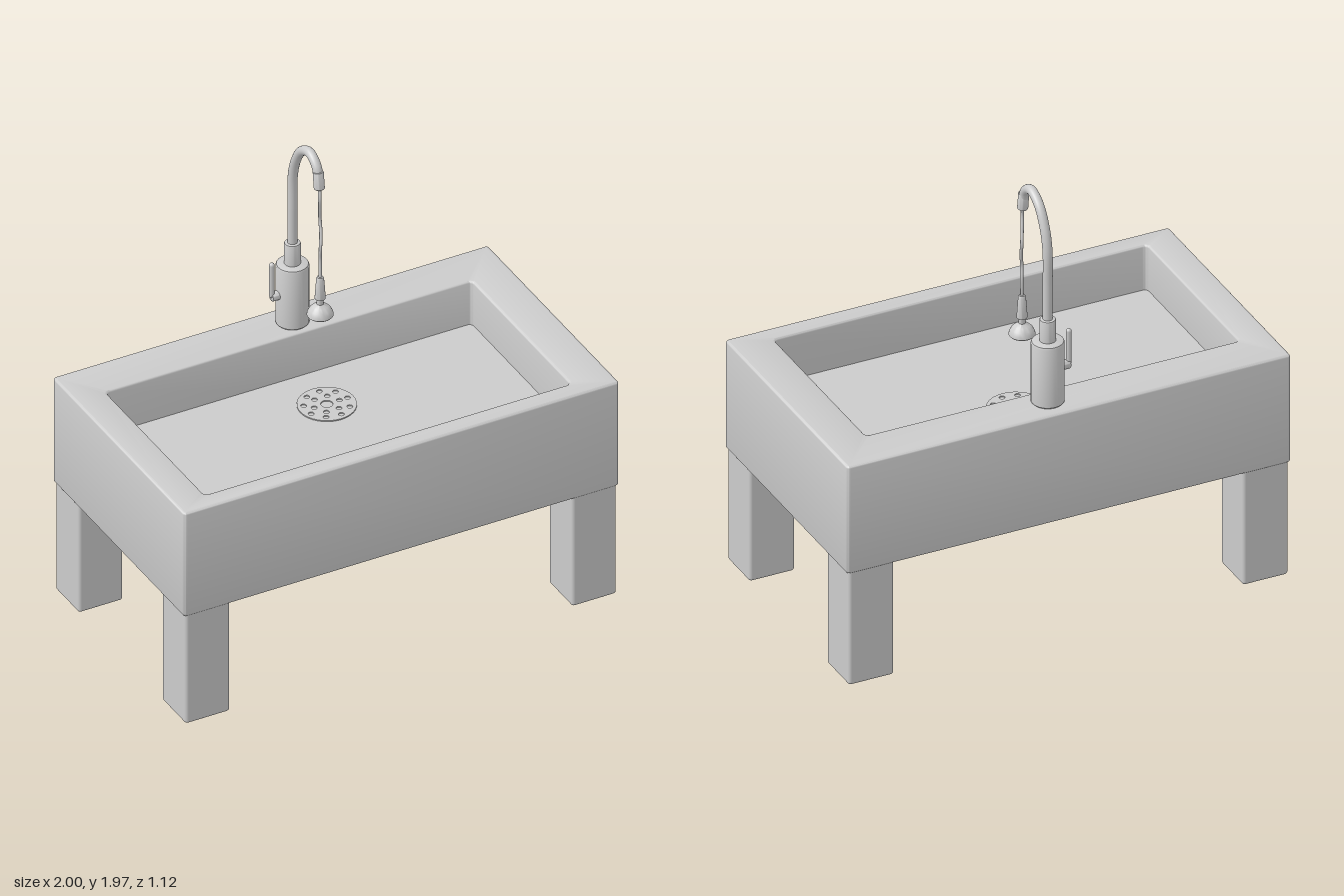
import * as THREE from 'three';
import { RoundedBoxGeometry } from 'three/addons/geometries/RoundedBoxGeometry.js';
import { toCreasedNormals } from 'three/addons/utils/BufferGeometryUtils.js';

const material = new THREE.MeshStandardMaterial({ color: 0xcccccc });

function add(parent, name, geometry, x = 0, y = 0, z = 0) {
  const mesh = new THREE.Mesh(geometry, material);
  mesh.name = name;
  mesh.position.set(x, y, z);
  parent.add(mesh);
  return mesh;
}

// Rectangle with rounded corners
function roundedRect(x0, x1, y0, y1, r, Type = THREE.Shape) {
  const s = new Type();
  s.absarc(x1 - r, y1 - r, r, 0, Math.PI / 2);
  s.absarc(x0 + r, y1 - r, r, Math.PI / 2, Math.PI);
  s.absarc(x0 + r, y0 + r, r, Math.PI, Math.PI * 1.5);
  s.absarc(x1 - r, y0 + r, r, Math.PI * 1.5, Math.PI * 2);
  s.closePath();
  return s;
}

// Turned part from [radius, height] pairs, with crisp edges
function lathe(points, segments = 32) {
  const profile = points.map(([r, y]) => new THREE.Vector2(r, y));
  return toCreasedNormals(new THREE.LatheGeometry(profile, segments), 0.6);
}

// Turned cylinder with softened rims
function softCylinder(r, y0, y1, b) {
  return lathe([[0, y0], [r - b, y0], [r, y0 + b], [r, y1 - b], [r - b * 0.3, y1 - b * 0.3], [r - b, y1], [0, y1]]);
}

function curve(points) {
  return new THREE.CatmullRomCurve3(points.map((p) => new THREE.Vector3(...p)));
}

function buildBasin() {
  const basin = new THREE.Group();
  basin.name = 'basin';
  const b = 0.01;
  const outline = roundedRect(-1, 1, -0.56, 0.56, 0.015);
  outline.holes.push(roundedRect(-0.86, 0.82, -0.475, 0.365, 0.02, THREE.Path));
  const walls = new THREE.ExtrudeGeometry(outline, {
    depth: 0.505 - 2 * b, bevelThickness: b, bevelSize: b, bevelOffset: -b, bevelSegments: 3, curveSegments: 5,
  });
  walls.rotateX(-Math.PI / 2);
  add(basin, 'basinWalls', toCreasedNormals(walls, 0.7), 0, 0.53 + b, 0);
  add(basin, 'basinFloor', new THREE.BoxGeometry(1.7, 0.29, 0.86), -0.02, 0.68, 0.055);
  add(basin, 'basinUnderside', new THREE.BoxGeometry(1.97, 0.012, 1.09), 0, 0.535, 0);
  return basin;
}

function buildDrain() {
  const disc = new THREE.Shape().absarc(0, 0, 0.122, 0, Math.PI * 2);
  const hole = (x, y, r) => disc.holes.push(new THREE.Path().absarc(x, y, r, 0, Math.PI * 2));
  hole(0, 0, 0.025);
  for (const [count, radius] of [[6, 0.058], [9, 0.095]]) {
    for (let i = 0; i < count; i++) {
      const a = (i / count) * Math.PI * 2;
      hole(Math.cos(a) * radius, Math.sin(a) * radius, 0.012);
    }
  }
  const geometry = new THREE.ExtrudeGeometry(disc, { depth: 0.006, bevelEnabled: false, curveSegments: 16 });
  return geometry.rotateX(-Math.PI / 2);
}

function buildFaucet() {
  const faucet = new THREE.Group();
  faucet.name = 'faucet';
  const x = 0.043, z = -0.45;
  add(faucet, 'faucetBase', softCylinder(0.069, 1.03, 1.325, 0.012), x, 0, z);
  add(faucet, 'faucetCollar', softCylinder(0.034, 1.31, 1.425, 0.006), x, 0, z);

  // Gooseneck spout
  const neck = curve([
    [x, 1.4, z], [x, 1.58, z], [x, 1.75, -0.447], [x, 1.84, -0.421], [x, 1.917, -0.37],
    [x, 1.949, -0.3], [x, 1.915, -0.244], [x, 1.835, -0.222],
  ]);
  add(faucet, 'spout', new THREE.TubeGeometry(neck, 64, 0.0205, 20), 0, 0, 0);
  const tip = add(faucet, 'spoutTip', softCylinder(0.0225, -0.04, 0.04, 0.004), x, 1.86, -0.226);
  tip.rotation.x = -0.13;

  // Wavy hose and hanging spray head
  const hose = curve([
    [x, 1.84, -0.22], [0.037, 1.78, -0.206], [0.044, 1.72, -0.218], [0.052, 1.66, -0.232],
    [0.047, 1.6, -0.215], [0.037, 1.54, -0.201], [0.042, 1.48, -0.211], [0.038, 1.39, -0.205],
  ]);
  add(faucet, 'hose', new THREE.TubeGeometry(hose, 64, 0.007, 10));
  const spray = lathe([
    [0, 1.215], [0.05, 1.215], [0.055, 1.22], [0.053, 1.231], [0.045, 1.247], [0.032, 1.26], [0.017, 1.268],
    [0.014, 1.272], [0.014, 1.295], [0.022, 1.298], [0.022, 1.31], [0.016, 1.395], [0.013, 1.402], [0, 1.402],
  ]);
  add(faucet, 'sprayHead', spray, 0.038, 0, -0.205);

  // Side lever
  const pivot = add(faucet, 'leverPivot', softCylinder(0.02, -0.03, 0.03, 0.005), -0.026, 1.187, z);
  pivot.rotation.z = Math.PI / 2;
  add(faucet, 'lever', new THREE.CapsuleGeometry(0.012, 0.145, 6, 16), -0.052, 1.268, z);
  return faucet;
}

export function createModel() {
  const model = new THREE.Group();
  model.name = 'sink';
  model.add(buildBasin());
  add(model, 'drain', buildDrain(), 0.028, 0.824, -0.13);

  // Four square legs
  for (const sx of [-1, 1]) {
    for (const sz of [-1, 1]) {
      const leg = new RoundedBoxGeometry(0.205, 0.55, 0.202, 3, 0.014);
      add(model, 'leg', leg, sx * 0.888, 0.275, sz * 0.454);
    }
  }
  model.add(buildFaucet());
  return model;
}
